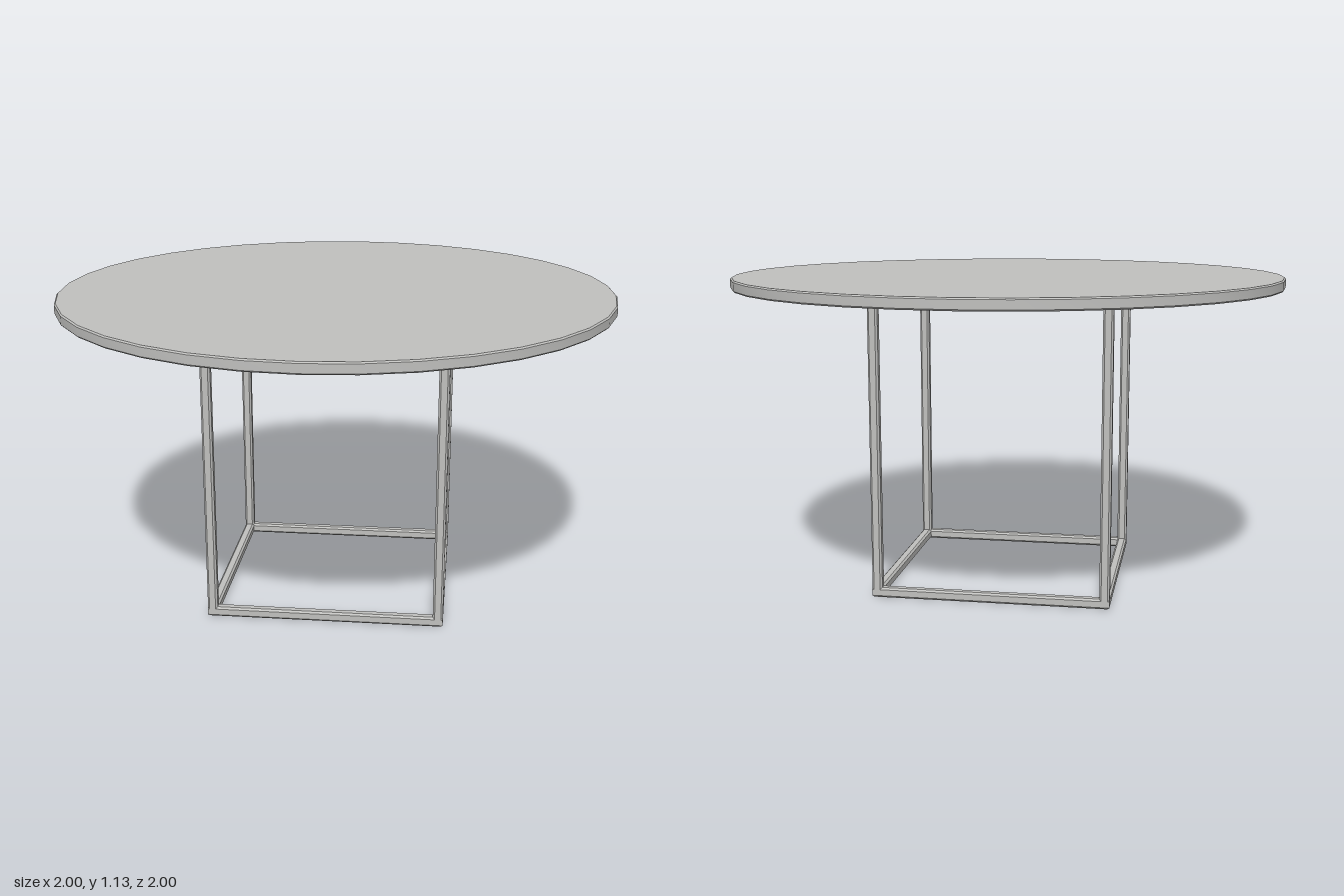
import * as THREE from 'three';
import { toCreasedNormals } from 'three/addons/utils/BufferGeometryUtils.js';

const HX = 0.425, HZ = 0.408;      // outer half extents of the frame
const T = 0.036, C = 0.007;        // bar thickness and edge chamfer
const TOP = 1.13, UNDER = 1.09, EDGE = 0.005;

// square bar section with chamfered corners, counter-clockwise from (0, 0) to (T, T)
const section = () => [
  [C, 0], [T - C, 0], [T, C], [T, T - C], [T - C, T], [C, T], [0, T - C], [0, C],
].map(([x, y]) => new THREE.Vector2(x, y));

export function createModel() {
  const model = new THREE.Group();
  const grey = new THREE.MeshStandardMaterial({ color: 0xc0c0be });
  grey.name = 'light grey';

  const add = (name, geometry) => {
    const mesh = new THREE.Mesh(geometry, grey);
    mesh.name = name;
    model.add(mesh);
    return mesh;
  };

  // round top with a slightly eased rim
  const rim = [
    [0, UNDER], [1 - EDGE, UNDER], [1, UNDER + EDGE],
    [1, TOP - EDGE], [1 - EDGE, TOP], [0, TOP],
  ].map(([r, y]) => new THREE.Vector2(r, y));
  add('tableTop', toCreasedNormals(new THREE.LatheGeometry(rim, 36), 0.5));

  // floor frame: the bar section swept round four mitred corners
  const ring = section().map((p) => new THREE.Vector2((HX - T + p.x) * Math.SQRT2, p.y));
  ring.push(ring[0].clone());
  const frame = new THREE.LatheGeometry(ring, 4);
  frame.rotateY(Math.PI / 4);
  frame.scale(1, 1, HZ / HX);
  add('baseFrame', toCreasedNormals(frame, 0.5));

  // four upright legs from the frame corners to the underside of the top
  const leg = new THREE.ExtrudeGeometry(new THREE.Shape(section()), {
    depth: UNDER - T / 2, bevelEnabled: false,
  });
  leg.translate(-T / 2, -T / 2, 0);
  leg.rotateX(-Math.PI / 2);
  for (const sx of [1, -1]) {
    for (const sz of [1, -1]) {
      const name = (sz > 0 ? 'front' : 'back') + (sx > 0 ? 'Left' : 'Right') + 'Leg';
      add(name, leg).position.set(sx * (HX - T / 2), T / 2, sz * (HZ - T / 2));
    }
  }
  return model;
}
